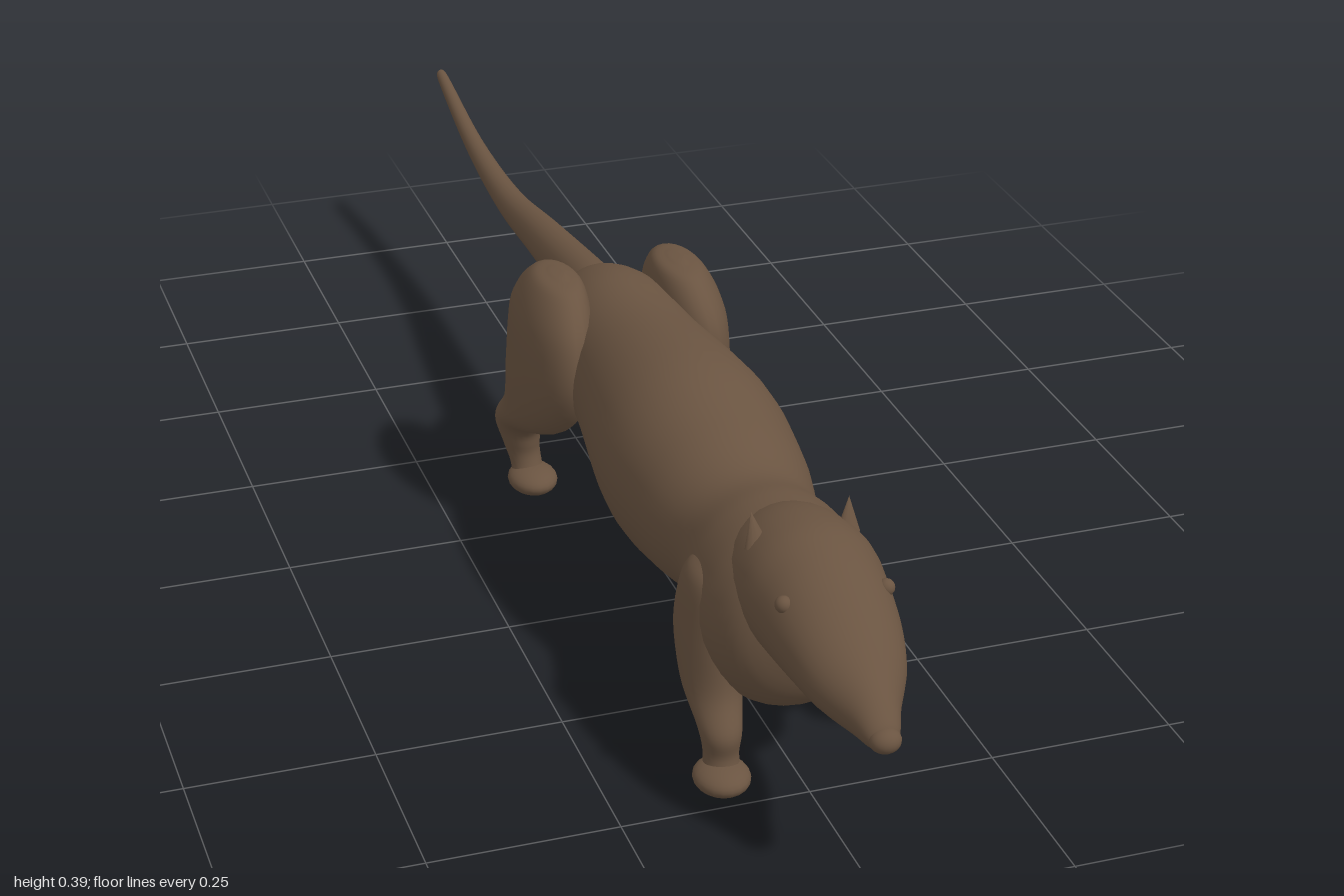
import * as THREE from 'three';

const fur = new THREE.MeshStandardMaterial({ color: 0x6a5441 });
fur.name = 'brown fur';

// Smooth closed skin through elliptical rings [x, y, z, radiusX, radiusOther].
// axis 'z': rings run from back to front; axis 'y': rings run from top to bottom.
function loft(rings, axis = 'z', seg = 28, steps = 6) {
  const centres = new THREE.CatmullRomCurve3(rings.map(r => new THREE.Vector3(r[0], r[1], r[2])));
  const radii = new THREE.CatmullRomCurve3(rings.map(r => new THREE.Vector3(r[3], r[4], 0)));
  centres.curveType = radii.curveType = 'catmullrom';
  const n = (rings.length - 1) * steps;
  const pos = [], index = [];
  for (let i = 0; i <= n; i++) {
    const c = centres.getPoint(i / n), r = radii.getPoint(i / n);
    for (let j = 0; j < seg; j++) {
      const a = (j / seg) * Math.PI * 2;
      const u = Math.max(r.x, 0.001) * Math.cos(a), v = Math.max(r.y, 0.001) * Math.sin(a);
      if (axis === 'z') pos.push(c.x + u, c.y + v, c.z);
      else pos.push(c.x + u, c.y, c.z + v);
    }
  }
  for (let i = 0; i < n; i++) {
    for (let j = 0; j < seg; j++) {
      const a = i * seg + j, b = i * seg + (j + 1) % seg;
      index.push(a, b, a + seg, b, b + seg, a + seg);
    }
  }
  // End caps
  const last = n * seg;
  for (let j = 1; j < seg - 1; j++) {
    index.push(0, j + 1, j, last, last + j, last + j + 1);
  }
  const g = new THREE.BufferGeometry();
  g.setAttribute('position', new THREE.Float32BufferAttribute(pos, 3));
  g.setIndex(index);
  g.computeVertexNormals();
  return g;
}

export function createModel() {
  const model = new THREE.Group();
  model.name = 'longTailedMammal';
  const add = (name, geometry, parent = model) => {
    const mesh = new THREE.Mesh(geometry, fur);
    mesh.name = name;
    parent.add(mesh);
    return mesh;
  };
  const ball = (name, parent, x, y, z, rx, ry, rz) => {
    const m = add(name, new THREE.SphereGeometry(1, 20, 14), parent);
    m.position.set(x, y, z);
    m.scale.set(rx, ry, rz);
    return m;
  };

  // Long barrel body from rump to chest
  add('body', loft([
    [0, 0.275, -0.165, 0.02, 0.03],
    [0, 0.265, -0.14, 0.065, 0.075],
    [0, 0.255, -0.05, 0.095, 0.115],
    [0, 0.255, 0.08, 0.105, 0.12],
    [0, 0.245, 0.28, 0.13, 0.145],
    [0, 0.24, 0.42, 0.12, 0.125],
    [0, 0.235, 0.52, 0.10, 0.105],
    [0, 0.215, 0.60, 0.115, 0.137],
    [0, 0.222, 0.68, 0.118, 0.132],
    [0, 0.235, 0.74, 0.095, 0.1],
    [0, 0.25, 0.77, 0.02, 0.03],
  ], 'z', 36));

  // Neck and head, tapering to the snout
  add('head', loft([
    [0, 0.26, 0.56, 0.05, 0.05],
    [0, 0.27, 0.64, 0.085, 0.09],
    [0, 0.287, 0.72, 0.092, 0.09],
    [0, 0.283, 0.78, 0.086, 0.086],
    [0, 0.272, 0.84, 0.077, 0.072],
    [0, 0.255, 0.895, 0.062, 0.055],
    [0, 0.237, 0.945, 0.035, 0.036],
    [0, 0.225, 0.975, 0.022, 0.021],
    [0, 0.223, 0.985, 0.012, 0.01],
  ], 'z', 32));
  ball('nose', model, 0, 0.222, 0.982, 0.02, 0.016, 0.018);

  // Slender tail, dipping then rising to the tip
  add('tail', loft([
    [0, 0.285, -0.10, 0.045, 0.05],
    [0, 0.285, -0.18, 0.038, 0.045],
    [0, 0.266, -0.40, 0.03, 0.033],
    [0, 0.247, -0.60, 0.022, 0.023],
    [0, 0.26, -0.80, 0.015, 0.016],
    [0, 0.303, -0.99, 0.009, 0.01],
    [0, 0.305, -1.0, 0.004, 0.005],
  ].reverse(), 'z', 20));

  for (const s of [1, -1]) {
    const side = s > 0 ? 'left' : 'right';

    // Eye and small pointed ear
    ball(side + 'Eye', model, s * 0.066, 0.322, 0.812, 0.011, 0.011, 0.011);
    const ear = add(side + 'Ear', new THREE.ConeGeometry(0.016, 0.045, 12));
    ear.position.set(s * 0.062, 0.362, 0.695);
    ear.rotation.set(-0.25, 0, -s * 0.1);
    ear.scale.z = 0.6;

    // Foreleg: the left one trails, the right one reaches forward
    const fz = s > 0 ? 0.57 : 0.705;
    const fore = new THREE.Group();
    fore.name = side + 'Foreleg';
    model.add(fore);
    add('foreLimb', loft([
      [s * 0.085, 0.285, 0.62, 0.01, 0.02],
      [s * 0.088, 0.26, 0.62, 0.033, 0.055],
      [s * 0.09, 0.19, 0.62, 0.043, 0.07],
      [s * 0.096, 0.125, 0.61 + (fz - 0.61) * 0.35, 0.038, 0.055],
      [s * 0.1, 0.08, fz - 0.015, 0.028, 0.032],
      [s * 0.1, 0.045, fz - 0.01, 0.023, 0.024],
      [s * 0.102, 0.012, fz, 0.026, 0.026],
    ], 'y', 24), fore);
    ball('forePaw', fore, s * 0.104, 0.02, fz + 0.005, 0.037, 0.02, 0.042);

    // Hind leg: large rounded thigh, thin shank and paw
    const hz = s > 0 ? 0.02 : -0.12;
    const hind = new THREE.Group();
    hind.name = side + 'HindLeg';
    model.add(hind);
    add('hindLimb', loft([
      [s * 0.088, 0.384, -0.04, 0.008, 0.02],
      [s * 0.09, 0.372, -0.04, 0.034, 0.07],
      [s * 0.098, 0.32, -0.04, 0.05, 0.117],
      [s * 0.103, 0.24, -0.04, 0.053, 0.122],
      [s * 0.11, 0.165, -0.045 + (hz + 0.045) * 0.25, 0.047, 0.09],
      [s * 0.118, 0.11, hz - 0.02, 0.036, 0.05],
      [s * 0.116, 0.07, hz - 0.025, 0.027, 0.032],
      [s * 0.112, 0.04, hz - 0.015, 0.023, 0.024],
      [s * 0.11, 0.012, hz, 0.025, 0.026],
    ], 'y', 24), hind);
    ball('hindPaw', hind, s * 0.108, 0.02, hz + 0.005, 0.036, 0.02, 0.044);
  }
  return model;
}
